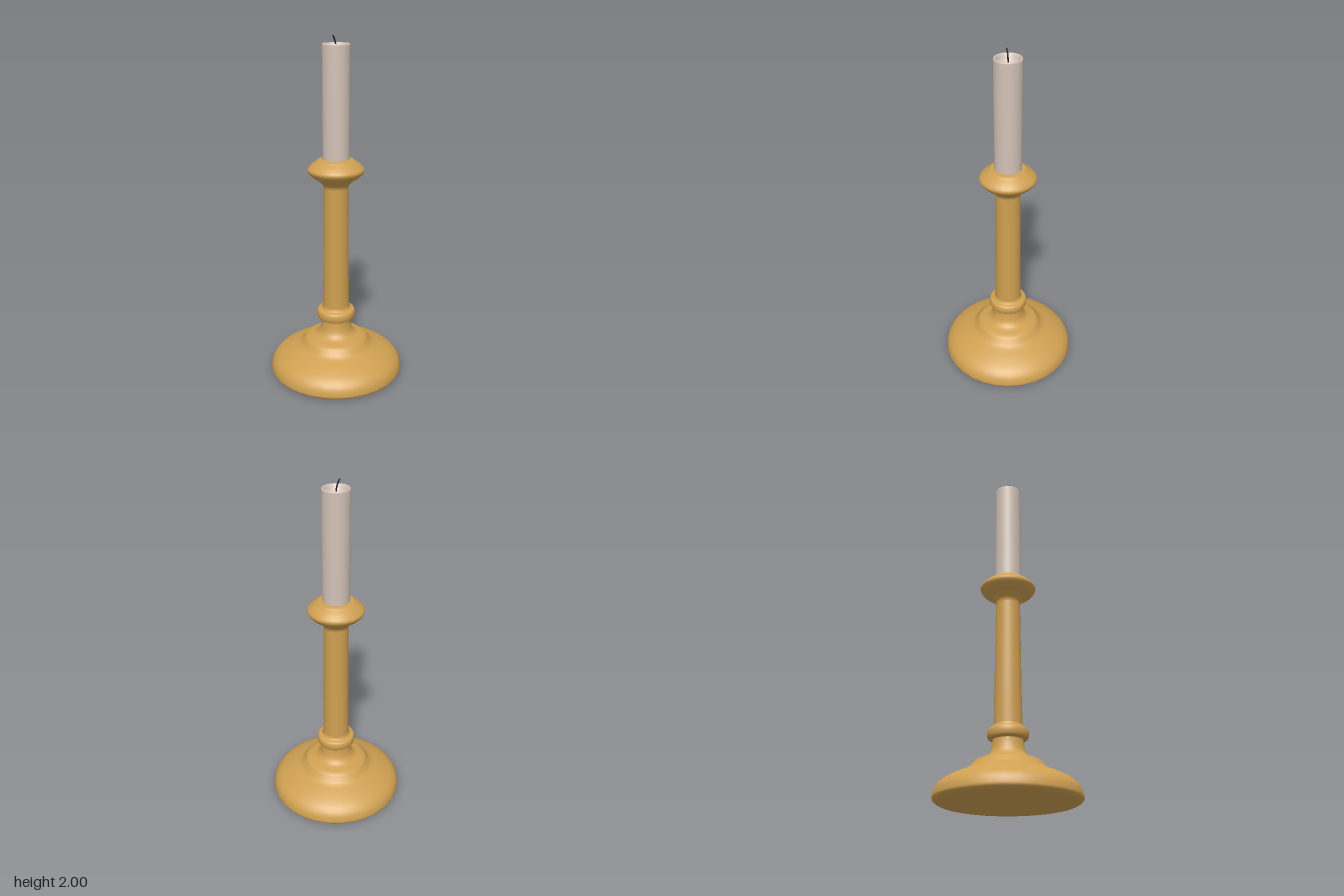
import * as THREE from 'three';

const SIDES = 32;
const brass = new THREE.MeshStandardMaterial({ color: 0xcfa052 });
const wax = new THREE.MeshStandardMaterial({ color: 0xd2c2b6 });
const char = new THREE.MeshStandardMaterial({ color: 0x1c1a1a });

const vecs = (pts) => pts.map(([r, y]) => new THREE.Vector2(r, y));

// Turned part: smooth curve through [radius, height] points, listed bottom to top
function turned(name, pts, material, steps) {
  const profile = steps ? new THREE.SplineCurve(vecs(pts)).getPoints(steps) : vecs(pts);
  const mesh = new THREE.Mesh(new THREE.LatheGeometry(profile, SIDES), material);
  mesh.name = name;
  return mesh;
}

export function createModel() {
  const model = new THREE.Group();
  model.name = 'candlestick';

  // Spreading foot with a stepped shoulder and waist
  model.add(turned('foot', [
    [0.375, 0], [0.393, 0.012], [0.397, 0.03], [0.385, 0.07], [0.35, 0.107], [0.29, 0.14],
    [0.225, 0.168], [0.2, 0.193], [0.178, 0.217], [0.125, 0.235], [0.1, 0.262],
    [0.089, 0.3], [0.085, 0.335],
  ], brass, 48));
  model.add(turned('footUnderside', [[0, 0], [0.375, 0]], brass));

  // Ring knop at the bottom of the stem
  model.add(turned('knop', [
    [0.085, 0.335], [0.107, 0.342], [0.114, 0.36], [0.114, 0.38], [0.107, 0.396],
    [0.086, 0.404], [0.079, 0.42],
  ], brass, 24));

  // Slightly tapering stem
  model.add(turned('stem', [[0.079, 0.42], [0.076, 0.6], [0.071, 1.15]], brass));

  // Bulging socket with a top shoulder closing on the candle
  model.add(turned('socket', [
    [0.071, 1.15], [0.076, 1.168], [0.098, 1.192], [0.138, 1.22], [0.16, 1.245], [0.161, 1.264],
    [0.14, 1.287], [0.112, 1.308], [0.098, 1.317], [0.07, 1.32],
  ], brass, 36));

  // Candle: straight side, rounded rim and melted hollow
  const candle = new THREE.Group();
  candle.name = 'candle';
  candle.add(turned('candleSide', [[0.077, 1.3], [0.077, 1.948]], wax));
  candle.add(turned('candleTop', [
    [0.077, 1.948], [0.075, 1.954], [0.07, 1.956], [0.064, 1.95], [0.05, 1.925],
    [0.028, 1.908], [0, 1.902],
  ], wax, 24));

  // Bent wick
  const path = new THREE.CatmullRomCurve3([
    new THREE.Vector3(0, 1.89, 0), new THREE.Vector3(0, 1.935, 0),
    new THREE.Vector3(-0.006, 1.97, -0.002), new THREE.Vector3(-0.018, 1.998, -0.004),
  ]);
  const wick = new THREE.Mesh(new THREE.TubeGeometry(path, 12, 0.004, 8), char);
  wick.name = 'wick';
  const tip = new THREE.Mesh(new THREE.SphereGeometry(0.004, 8, 6), char);
  tip.name = 'wickTip';
  tip.position.copy(path.getPoint(1)).y -= 0.002;
  candle.add(wick, tip);
  model.add(candle);

  // The underside faces down
  const underside = model.getObjectByName('footUnderside');
  underside.geometry.computeBoundingBox();
  underside.material = brass.clone();
  underside.material.side = THREE.DoubleSide;

  return model;
}
